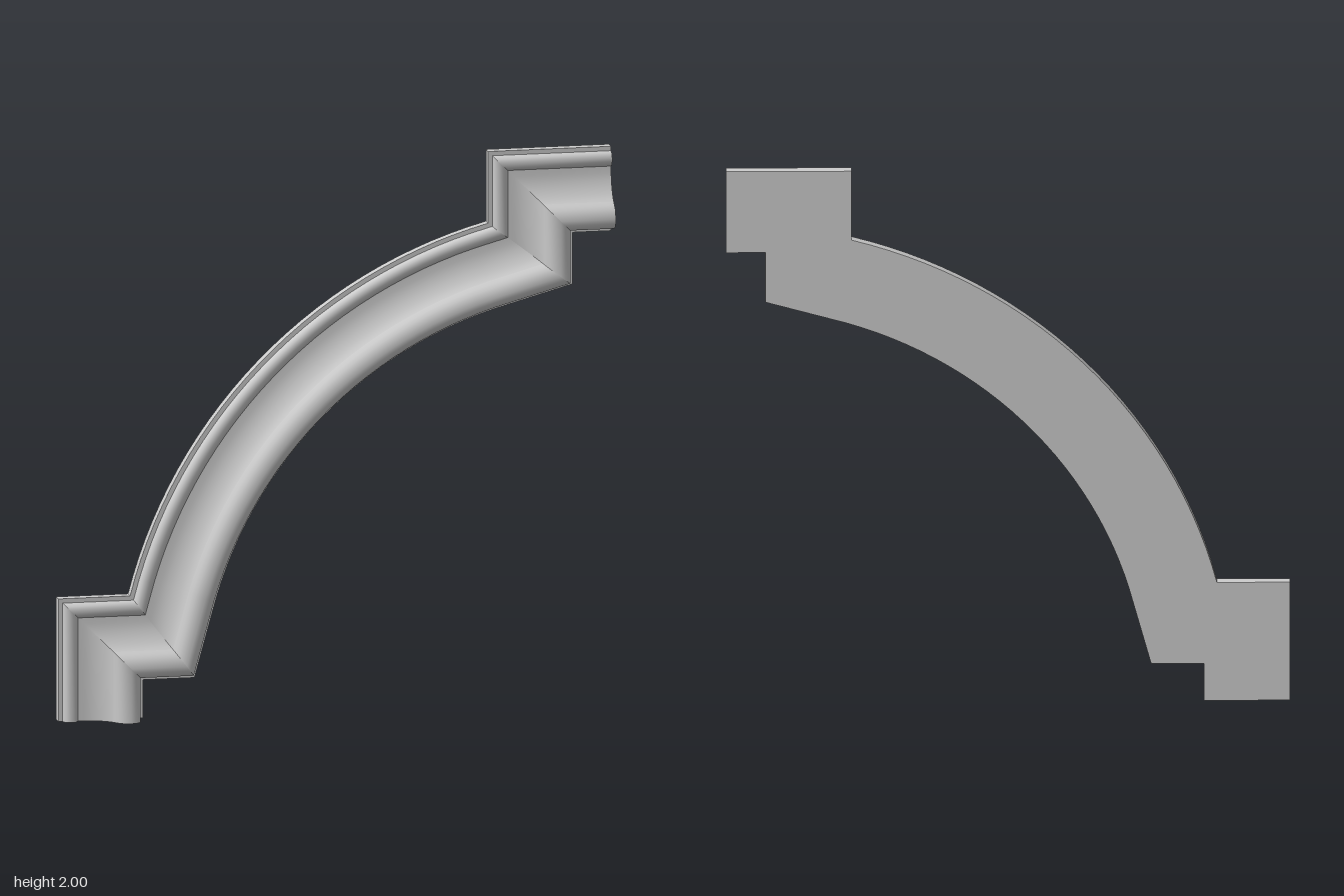
import * as THREE from 'three';

const V = (x, y) => new THREE.Vector2(x, y);
const material = new THREE.MeshStandardMaterial({ color: 0xcccccc });

// Moulding profile as smooth bands: [distance from outer edge, z]; creases lie between bands
const BANDS = {
  outerEdge: [[0, -0.063], [0, -0.025]],
  outerFillet: [[0, -0.025], [0.016, -0.025]],
  bead: [[0.016, -0.025], [0.019, -0.012], [0.027, -0.003], [0.038, 0], [0.05, 0], [0.06, -0.004], [0.066, -0.012]],
  quirk: [[0.066, -0.012], [0.071, -0.021]],
  cove: [[0.071, -0.021], [0.095, -0.02], [0.12, -0.016], [0.145, -0.007], [0.165, 0.004], [0.18, 0.015], [0.19, 0.026]],
  torus: [[0.19, 0.026], [0.2, 0.04], [0.212, 0.052], [0.228, 0.06], [0.247, 0.063], [0.263, 0.061],
    [0.276, 0.054], [0.285, 0.04], [0.289, 0.02], [0.29, -0.025]],
  innerFillet: [[0.29, -0.025], [0.306, -0.025]],
  innerEdge: [[0.306, -0.025], [0.306, -0.063]],
  back: [[0.306, -0.063], [0, -0.063]],
};

// Outer edge of the frame: straight legs with right-angle ears joined by an arc
const RADIUS = 1.796, START = Math.asin(0.445 / RADIUS), STEPS = 28;
const arc = [];
for (let i = 0; i <= STEPS; i++) {
  const a = Math.PI - START - (Math.PI / 2 - 2 * START) * (i / STEPS);
  arc.push(V(1 + RADIUS * Math.cos(a), RADIUS * Math.sin(a)));
}
const path = [V(-1, 0), V(-1, 0.445), ...arc, V(0.555, 2), V(1, 2)];

// Inward mitre vector at each path point
const normals = path.slice(1).map((p, i) => {
  const d = p.clone().sub(path[i]).normalize();
  return V(d.y, -d.x);
});
const mitres = path.map((p, i) => {
  const a = normals[Math.max(i - 1, 0)], b = normals[Math.min(i, normals.length - 1)];
  return a.clone().add(b).divideScalar(1 + a.dot(b));
});

// Sweep one profile band between two path indices
function sweep(band, from, to) {
  const pos = [], index = [], n = band.length;
  for (let i = from; i <= to; i++) {
    for (const [u, z] of band) pos.push(path[i].x + mitres[i].x * u, path[i].y + mitres[i].y * u, z);
  }
  for (let i = 0; i < to - from; i++) {
    for (let j = 0; j < n - 1; j++) {
      const a = i * n + j, b = a + 1, c = a + n, d = c + 1;
      index.push(a, b, c, b, d, c);
    }
  }
  const g = new THREE.BufferGeometry();
  g.setAttribute('position', new THREE.Float32BufferAttribute(pos, 3));
  g.setIndex(index);
  g.computeVertexNormals();
  return g;
}

function addMesh(parent, name, geometry) {
  const mesh = new THREE.Mesh(geometry, material);
  mesh.name = name;
  parent.add(mesh);
}

export function createModel() {
  const model = new THREE.Group();
  model.name = 'archMoulding';

  // Five runs, split at the mitred corners
  const e = 2 + STEPS;
  const runs = { lowerLeg: [0, 1], lowerEar: [1, 2], arch: [2, e], upperEar: [e, e + 1], upperLeg: [e + 1, e + 2] };
  for (const [name, [from, to]] of Object.entries(runs)) {
    const run = new THREE.Group();
    run.name = name;
    for (const [bandName, band] of Object.entries(BANDS)) addMesh(run, bandName, sweep(band, from, to));
    model.add(run);
  }

  // Flat cut ends
  const outline = Object.values(BANDS).flatMap((band) => band.slice(0, -1));
  const cap = (sign) => new THREE.ShapeGeometry(new THREE.Shape(outline.map(([u, z]) => V(sign * u, z))));
  addMesh(model, 'lowerEnd', cap(1).rotateX(Math.PI / 2).translate(-1, 0, 0));
  const toSide = new THREE.Matrix4().makeBasis(
    new THREE.Vector3(0, 1, 0), new THREE.Vector3(0, 0, 1), new THREE.Vector3(1, 0, 0));
  addMesh(model, 'upperEnd', cap(-1).applyMatrix4(toSide).translate(1, 2, 0));

  return model;
}
